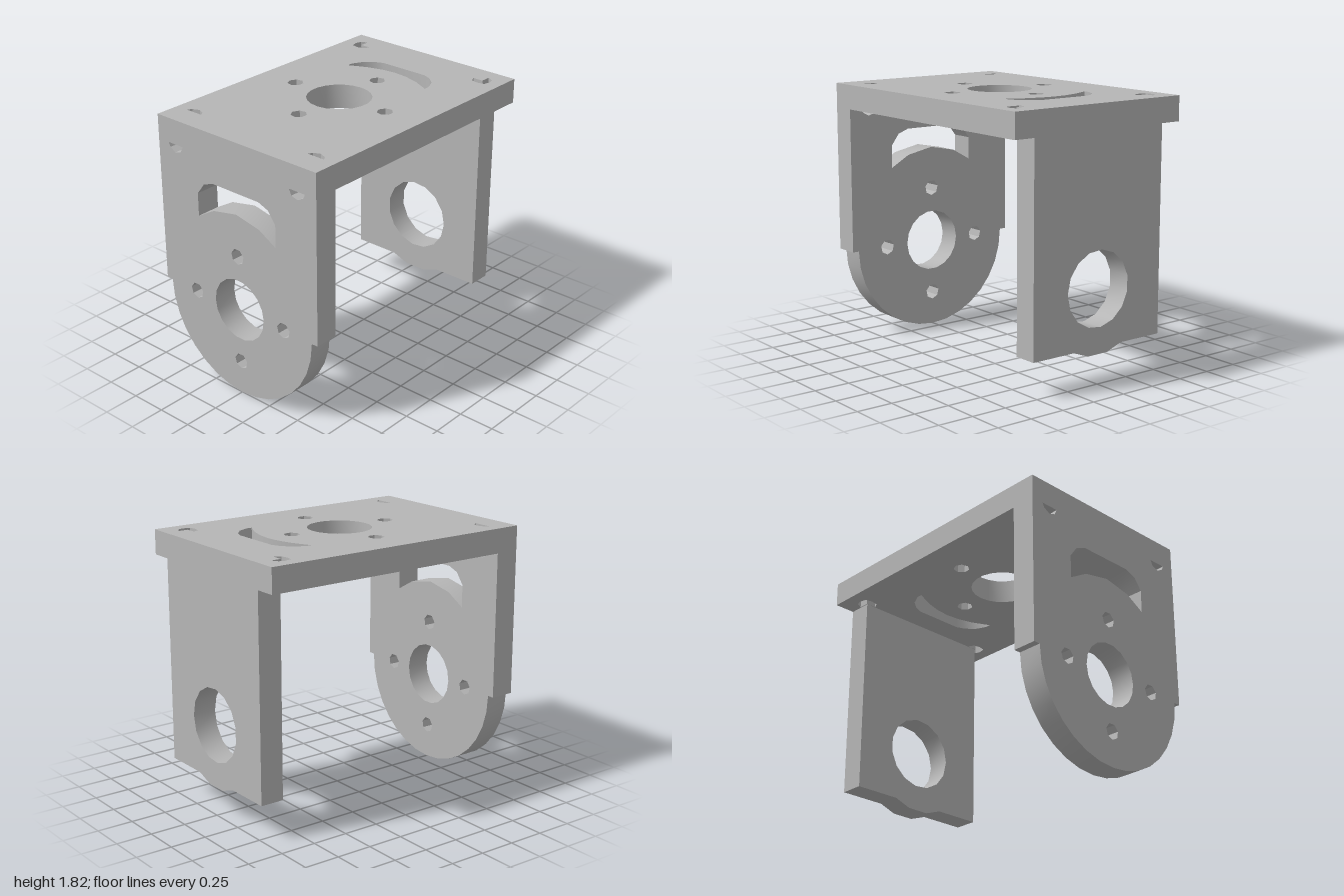
import * as THREE from 'three';
import { toCreasedNormals } from 'three/addons/utils/BufferGeometryUtils.js';

const pts = (list) => list.map(([u, v]) => new THREE.Vector2(u, v));

// Points along an arc, angles in turns
function arc(u, v, r, sides, from = 0, to = 1) {
  const list = [];
  const count = to - from === 1 ? sides : sides + 1;
  for (let i = 0; i < count; i++) {
    const a = (from + (to - from) * i / sides) * Math.PI * 2;
    list.push([u + r * Math.cos(a), v + r * Math.sin(a)]);
  }
  return list;
}

// Four bolt holes round a centre
function boltHoles(u, v) {
  return [0, 1, 2, 3].map((i) => {
    const a = i * Math.PI / 2;
    return arc(u + 0.39 * Math.cos(a), v + 0.39 * Math.sin(a), 0.055, 7, 0.04, 1.04);
  });
}

const mirrorV = (list) => list.map(([u, v]) => [u, -v]);

function plate(outline, holes, depth) {
  const shape = new THREE.Shape(pts(outline));
  holes.forEach((h) => shape.holes.push(new THREE.Path(pts(h))));
  const geo = new THREE.ExtrudeGeometry(shape, { depth, bevelEnabled: false });
  return toCreasedNormals(geo, 0.6);
}

export function createModel() {
  const group = new THREE.Group();
  const metal = new THREE.MeshStandardMaterial({ color: 0xb6b6b6 });
  metal.name = 'grey metal';

  const add = (name, geo) => {
    const mesh = new THREE.Mesh(geo, metal);
    mesh.name = name;
    group.add(mesh);
    return mesh;
  };

  // Top plate, drawn in x and z: bore, bolt holes, curved slot, corner cut-outs
  const topSlot = [
    [0.46, -0.34], [0.5, -0.34], [0.58, -0.3], [0.63, -0.24], [0.655, -0.18],
    [0.655, 0.18], [0.63, 0.24], [0.58, 0.3], [0.5, 0.335], [0.46, 0.335],
    [0.52, 0.21], [0.55, 0.1], [0.56, 0], [0.55, -0.1], [0.52, -0.21],
  ];
  const halfHole = [[-0.83, -0.59], [-0.8, -0.57], [-0.78, -0.52], [-0.8, -0.475], [-0.83, -0.46]];
  const cornerHole = [
    [0.833, -0.46], [0.79, -0.48], [0.78, -0.53], [0.79, -0.58], [0.84, -0.592],
    [0.88, -0.58], [0.905, -0.535], [0.833, -0.535],
  ];
  const top = add('topPlate', plate(
    [[-1, -0.68], [1, -0.68], [1, 0.68], [-1, 0.68]],
    [
      arc(-0.02, 0, 0.218, 22), ...boltHoles(-0.02, 0), topSlot,
      halfHole, mirrorV(halfHole), cornerHole, mirrorV(cornerHole),
    ],
    0.17,
  ).rotateX(Math.PI / 2));
  top.position.y = 1.82;

  // Round-ended leg, drawn in z and y, with notches at its upper edge
  const cy = 0.635;
  const notch = [[0.59, 1.65], [0.575, 1.62], [0.53, 1.595], [0.48, 1.61], [0.46, 1.65]];
  const notchBack = notch.map(([z, y]) => [-z, y]).reverse();
  const legSlot = [
    [-0.34, cy + 0.57], [-0.2, cy + 0.65], [0, cy + 0.69], [0.2, cy + 0.65], [0.34, cy + 0.57],
    [0.34, cy + 0.73], [0.28, cy + 0.81], [0.2, cy + 0.84],
    [-0.2, cy + 0.84], [-0.28, cy + 0.81], [-0.34, cy + 0.73],
  ];
  const roundLeg = add('roundLeg', plate(
    [
      [-0.68, 1.65], [-0.68, cy], ...arc(0, cy, 0.632, 16, 0.5, 1),
      [0.68, cy], [0.68, 1.65], ...notch, ...notchBack,
    ],
    [arc(0, cy, 0.218, 18), ...boltHoles(0, cy), legSlot],
    0.17,
  ).rotateY(-Math.PI / 2));
  roundLeg.position.x = -0.83;

  // Square-ended leg with a wider bore and a shallow lobe below it
  const squareLeg = add('squareLeg', plate(
    [
      [-0.53, 1.65], [-0.53, 0.247], [-0.2, 0.247], [-0.08, 0.203],
      [0.08, 0.203], [0.2, 0.247], [0.53, 0.247], [0.53, 1.65],
    ],
    [arc(0, cy, 0.255, 15)],
    0.165,
  ).rotateY(-Math.PI / 2));
  squareLeg.position.x = 1;

  return group;
}
